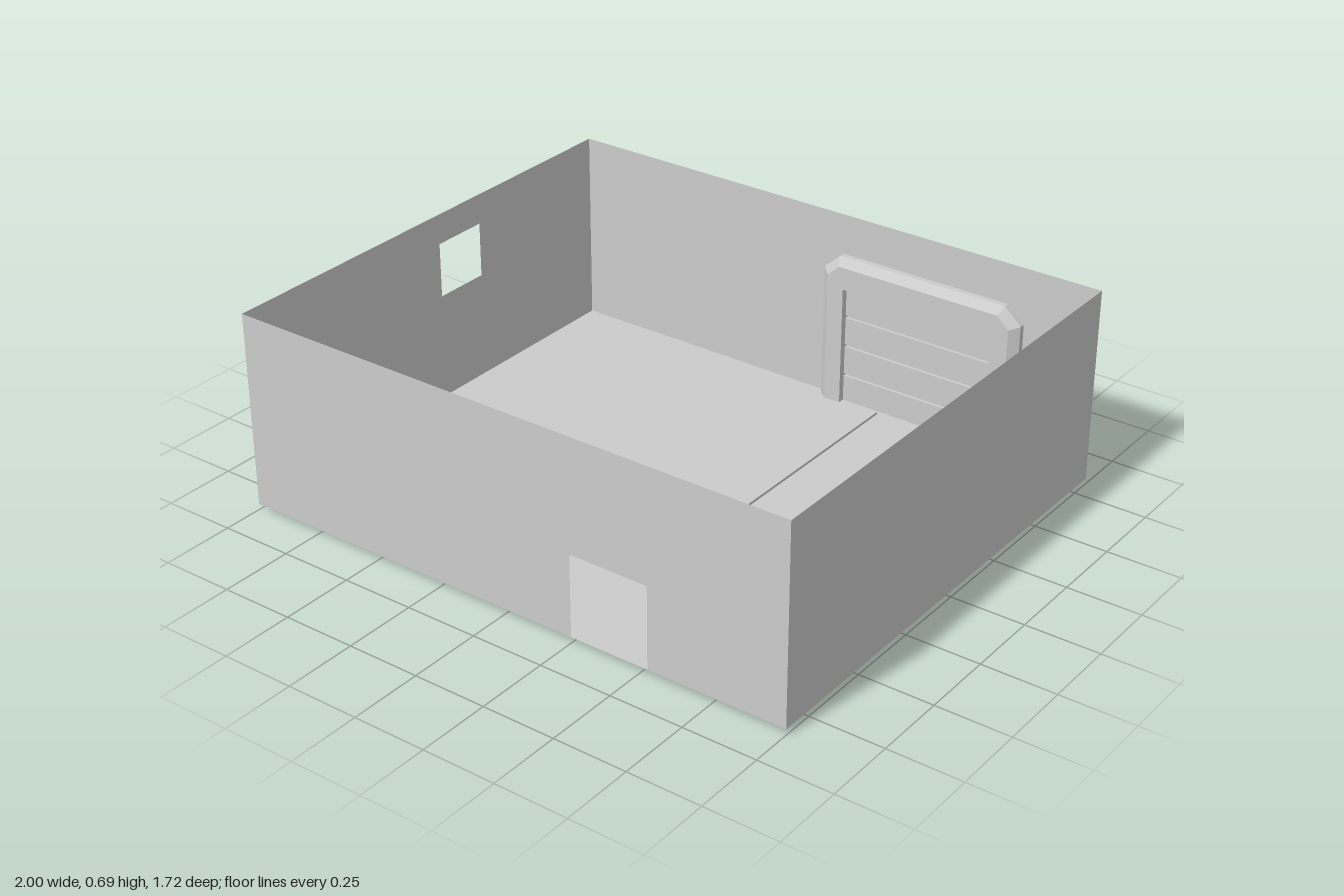
import * as THREE from 'three';

const material = new THREE.MeshStandardMaterial({ color: 0xcccccc, flatShading: true, side: THREE.DoubleSide });
const BASE = 0.02, TOP = 0.685, BACK = -0.82, FRONT = 0.86;

function add(parent, name, geometry, x = 0, y = 0, z = 0) {
  const mesh = new THREE.Mesh(geometry, material);
  mesh.name = name;
  mesh.position.set(x, y, z);
  parent.add(mesh);
  return mesh;
}

const polygon = (points) => points.map(([x, y]) => new THREE.Vector2(x, y));

// Flat wall outline, optionally with a rectangular opening cut out
function wallShape(a, b, hole) {
  const shape = new THREE.Shape(polygon([[a, BASE], [b, BASE], [b, TOP], [a, TOP]]));
  if (hole) {
    const [x0, y0, x1, y1] = hole;
    shape.holes.push(new THREE.Path(polygon([[x0, y0], [x0, y1], [x1, y1], [x1, y0]])));
  }
  return new THREE.ShapeGeometry(shape);
}

// Gate surround: one five-sided section swept up a jamb, over the lintel and down
function frameGeometry() {
  const outer = [[0, 0], [0, 0.49], [0.06, 0.545], [0.68, 0.545], [0.74, 0.49], [0.74, 0]];
  const inset = [[0.03, 0], [0.03, 0.478], [0.072, 0.518], [0.668, 0.518], [0.71, 0.478], [0.71, 0]];
  const inner = [[0.09, 0], [0.09, 0.44], [0.09, 0.44], [0.65, 0.44], [0.65, 0.44], [0.65, 0]];
  const rings = [[outer, -0.86], [outer, -0.8], [inset, -0.775], [inner, -0.775], [inner, -0.86]];
  const positions = [], index = [], n = rings.length;
  for (let i = 0; i < outer.length; i++) {
    for (const [path, z] of rings) positions.push(path[i][0], path[i][1], z);
  }
  for (let i = 0; i < outer.length - 1; i++) {
    for (let j = 0; j < n; j++) {
      const a = i * n + j, b = i * n + (j + 1) % n;
      index.push(a, b, a + n, b, b + n, a + n);
    }
  }
  // Undersides of the two feet
  const last = (outer.length - 1) * n;
  for (let j = 1; j < n - 1; j++) {
    index.push(0, j + 1, j, last, last + j, last + j + 1);
  }
  const geometry = new THREE.BufferGeometry();
  geometry.setAttribute('position', new THREE.Float32BufferAttribute(positions, 3));
  geometry.setIndex(index);
  const flat = geometry.toNonIndexed();
  flat.computeVertexNormals();
  return flat;
}

export function createModel() {
  const model = new THREE.Group();
  model.name = 'garage';

  // Floor and thin walls, open at the top
  const room = new THREE.Group();
  room.name = 'room';
  model.add(room);
  const floor = add(room, 'floor', new THREE.PlaneGeometry(2, FRONT - BACK), 0, BASE, (FRONT + BACK) / 2);
  floor.rotation.x = -Math.PI / 2;

  const front = new THREE.Shape(polygon([
    [-1, BASE], [0.25, BASE], [0.25, 0.295], [0.255, 0.3], [0.52, 0.3], [0.525, 0.295],
    [0.525, BASE], [1, BASE], [1, TOP], [-1, TOP],
  ]));
  add(room, 'frontWallWithDoorway', new THREE.ShapeGeometry(front), 0, 0, FRONT);
  const back = add(room, 'backWall', wallShape(-1, 1), 0, 0, BACK);
  back.rotation.y = Math.PI;
  const left = add(room, 'leftWall', wallShape(-FRONT, -BACK), 1, 0, 0);
  left.rotation.y = Math.PI / 2;
  const right = add(room, 'rightWallWithWindow', wallShape(BACK, FRONT, [-0.23, 0.39, -0.03, 0.58]), -1, 0, 0);
  right.rotation.y = -Math.PI / 2;

  // Gate in the back wall
  const gate = new THREE.Group();
  gate.name = 'gate';
  model.add(gate);
  add(gate, 'gateFrame', frameGeometry());
  add(gate, 'gatePanel', new THREE.BoxGeometry(0.56, 0.43, 0.014), 0.37, 0.225, -0.816);
  const slats = 4, pitch = 0.43 / slats;
  for (let i = 0; i < slats; i++) {
    add(gate, 'gateSlat', new THREE.BoxGeometry(0.56, pitch - 0.01, 0.012), 0.37, 0.01 + pitch * (i + 0.5), -0.804);
  }

  // Pair of rails let into the floor
  for (const x of [0.23, 0.535]) {
    add(model, 'floorRail', new THREE.BoxGeometry(0.016, 0.018, 0.99), x, 0.02, -0.285);
  }
  return model;
}
